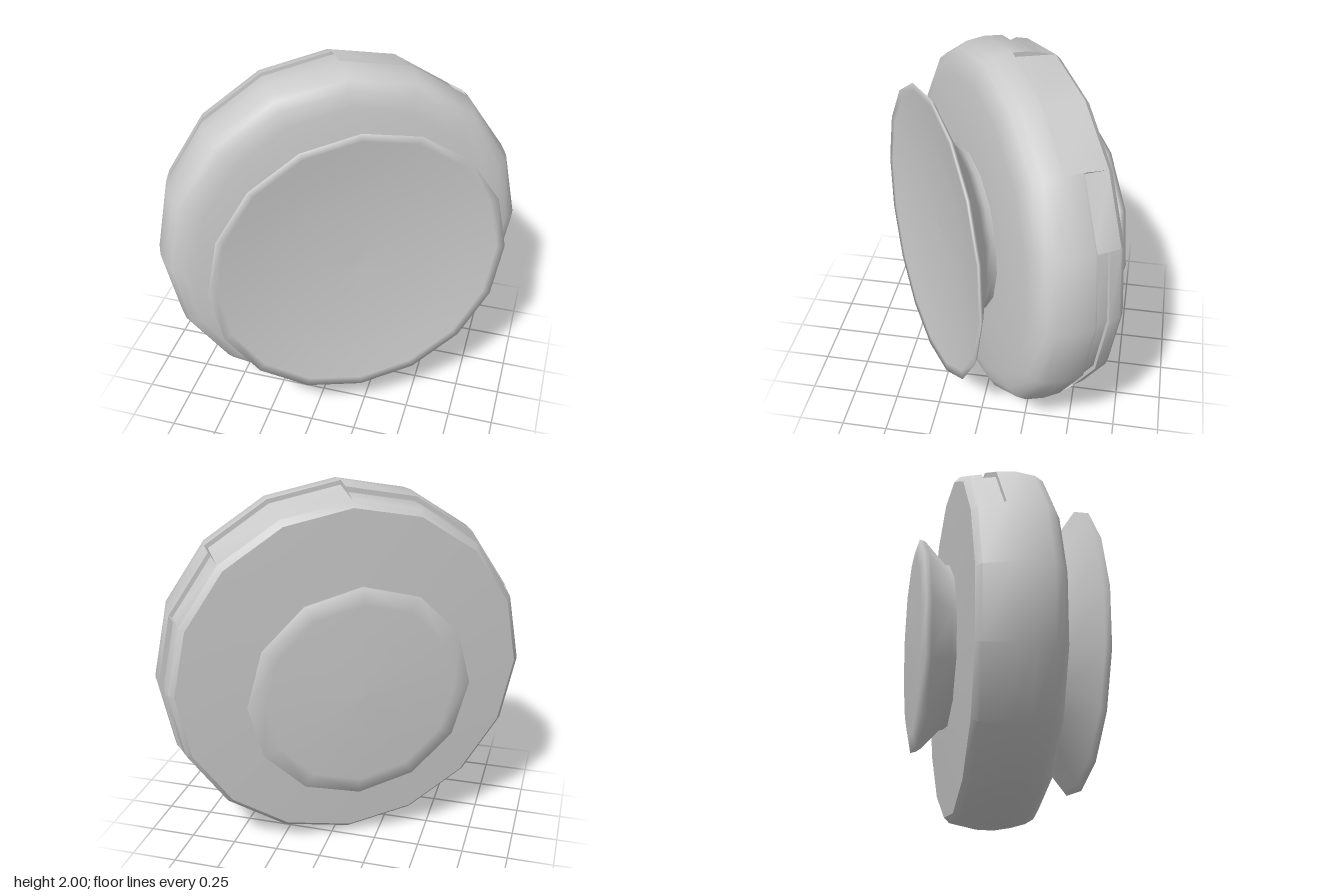
import * as THREE from 'three';
import { mergeGeometries, toCreasedNormals } from 'three/addons/utils/BufferGeometryUtils.js';

const STEP = Math.PI / 8; // one side of the 16-sided drum
const V = (pts) => pts.map(([r, h]) => new THREE.Vector2(r, h));

const material = new THREE.MeshStandardMaterial({ color: 0xcccccc, side: THREE.DoubleSide });

// Revolve a [radius, depth] profile around the local z axis, angle counted in sides from the top
function revolve(profile, from = 0, to = 16, step = STEP) {
  return new THREE.LatheGeometry(V(profile), to - from, Math.PI - to * step, (to - from) * step);
}

function addPart(group, name, geometry) {
  geometry.rotateX(Math.PI / 2);
  const mesh = new THREE.Mesh(geometry, material);
  mesh.name = name;
  group.add(mesh);
}

// Drum profile, back to front
const BACK = [[0, -0.32], [0.45, -0.315], [0.93, -0.295], [0.96, -0.265]];
const FRONT = [
  [1, -0.02], [0.985, 0.08], [0.96, 0.125], [0.91, 0.155], [0.83, 0.172], [0.46, 0.185], [0, 0.185],
];
const SHOULDER = [0.995, -0.115];
const GROOVE = [[0.973, -0.2], [0.953, -0.199], [0.965, -0.126], [0.992, -0.125]];
const LOW_LEDGE = [[0.97, -0.126], [0.992, -0.125]];
const HIGH_LEDGE = [[0.975, -0.031], [0.999, -0.03]];

// Rim sectors with the ledges and grooves cut into them (sides clockwise from the top)
const SECTORS = [
  { from: 0, to: 2, cut: HIGH_LEDGE },
  { from: 2, to: 3, cut: LOW_LEDGE, shoulder: true },
  { from: 3, to: 6, cut: GROOVE, shoulder: true },
  { from: 6, to: 13, cut: [], shoulder: true },
  { from: 13, to: 16, cut: GROOVE, shoulder: true },
];

function drumGeometry() {
  const pieces = [];
  for (const { from, to, cut, shoulder } of SECTORS) {
    pieces.push(revolve([...BACK, ...cut, ...(shoulder ? [SHOULDER] : []), ...FRONT], from, to));
    if (!cut.length) continue;
    // Walls closing the cut at both ends
    const outline = [BACK[3], ...cut, ...(shoulder ? [] : [SHOULDER])];
    for (const side of [from, to]) {
      const wall = new THREE.ShapeGeometry(new THREE.Shape(V(outline)));
      wall.rotateY(Math.PI / 2 - side * STEP);
      pieces.push(wall);
    }
  }
  return toCreasedNormals(mergeGeometries(pieces), 0.64);
}

export function createModel() {
  // Turned to the side and leaning slightly back
  const model = new THREE.Group();
  model.name = 'drumWithDish';
  model.position.set(0.031, 1, -0.018);
  model.rotation.set(-0.043, 0.531, 0, 'YXZ');

  addPart(model, 'drumBody', drumGeometry());

  // Flared shallow dish on a short neck at the front, softly shaded over its rim
  const dish = revolve([
    [0.46, 0.15], [0.46, 0.21], [0.51, 0.26], [0.77, 0.372], [0.805, 0.396],
    [0.76, 0.392], [0.6, 0.37], [0.4, 0.353], [0.2, 0.344], [0, 0.34],
  ]);
  addPart(model, 'frontDish', dish);

  // Flat-topped knob at the back, softly shaded over its rim
  const knob = revolve([
    [0, -0.51], [0.5, -0.502], [0.59, -0.485], [0.582, -0.455], [0.46, -0.34], [0.45, -0.25],
  ], 0, 12, Math.PI / 6);
  addPart(model, 'backKnob', knob);

  const root = new THREE.Group();
  root.add(model);
  return root;
}
